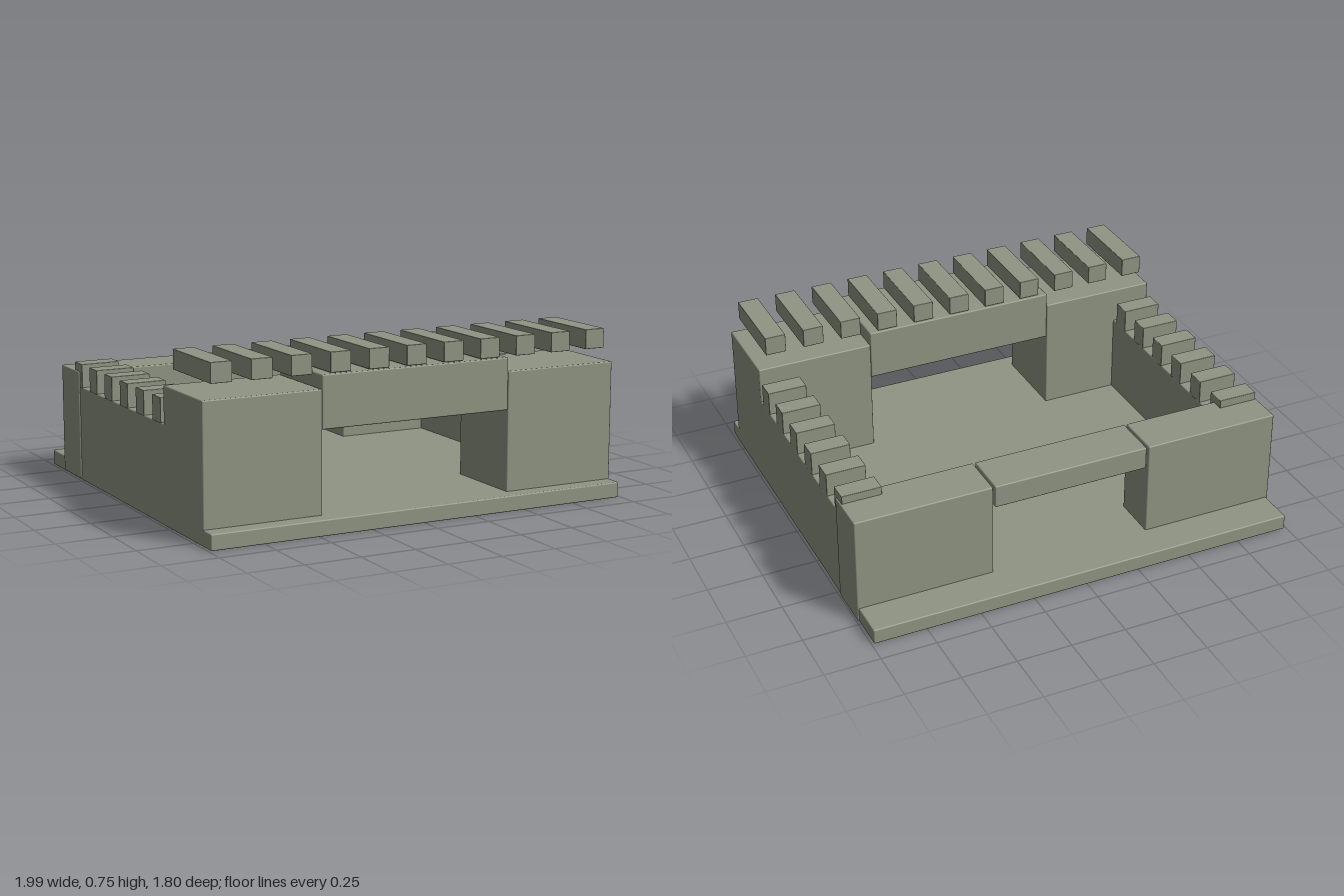
import * as THREE from 'three';
import { RoundedBoxGeometry } from 'three/addons/geometries/RoundedBoxGeometry.js';

export function createModel() {
  const model = new THREE.Group();
  model.name = 'fort';
  const stone = new THREE.MeshStandardMaterial({ color: 0x8f9583 });
  stone.name = 'grey green stone';

  // Slightly eased block given by its extents on each axis
  function block(name, [x0, x1], [y0, y1], [z0, z1], radius = 0.006) {
    const geometry = new RoundedBoxGeometry(x1 - x0, y1 - y0, z1 - z0, 2, radius);
    const mesh = new THREE.Mesh(geometry, stone);
    mesh.name = name;
    mesh.position.set((x0 + x1) / 2, (y0 + y1) / 2, (z0 + z1) / 2);
    model.add(mesh);
  }

  // Mirrored pair: extents are given for the left (+x) side
  function pair(name, [x0, x1], y, z, radius) {
    block(name + 'Left', [x0, x1], y, z, radius);
    block(name + 'Right', [-x1, -x0], y, z, radius);
  }

  block('base', [-0.99, 0.99], [0, 0.07], [-0.9, 0.9]);

  // Front gatehouse
  pair('frontTower', [0.45, 0.99], [0.005, 0.6], [0.435, 0.825]);
  block('frontLintel', [-0.45, 0.45], [0.43, 0.66], [0.435, 0.825]);
  for (let i = 0; i < 11; i++) {
    const x = (i - 5) * 0.18;
    block('frontMerlon' + (i + 1), [x - 0.048, x + 0.048], [0.663, 0.75], [0.443, 0.818], 0.003);
  }

  // Side walls and their battlements
  pair('sideWall', [0.81, 0.99], [0.005, 0.435], [-0.54, 0.45]);
  for (let i = 0; i < 6; i++) {
    const z = 0.36 - i * 0.18;
    pair('sideMerlon' + (i + 1), [0.81, 0.99], [0.432, 0.542], [z - 0.044, z + 0.044], 0.003);
  }

  // Back gate
  pair('backTower', [0.37, 0.997], [0.005, 0.505], [-0.735, -0.525]);
  block('backLintel', [-0.36, 0.36], [0.4, 0.505], [-0.735, -0.525]);

  return model;
}
